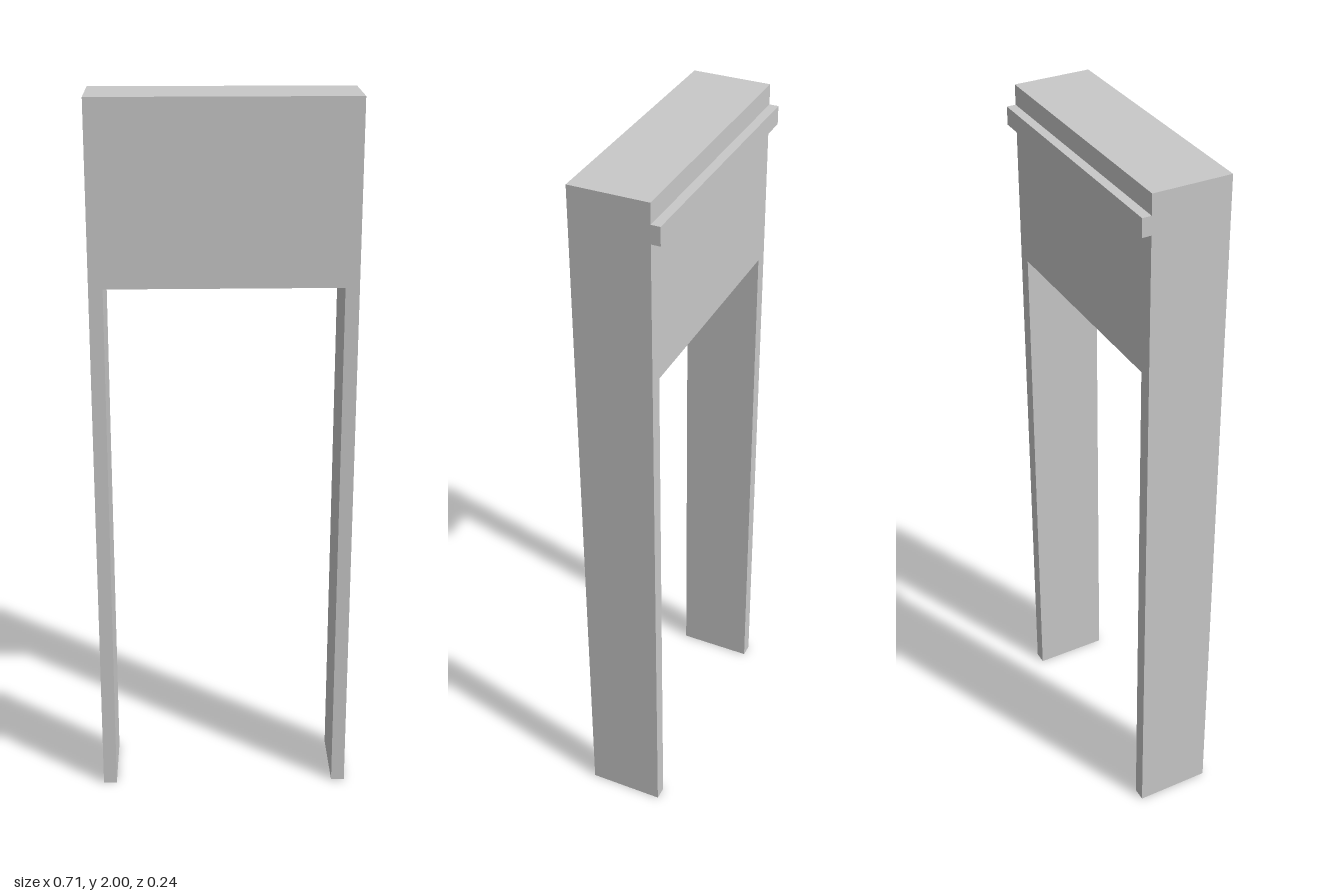
import * as THREE from 'three';

export function createModel() {
  const model = new THREE.Group();
  const grey = new THREE.MeshStandardMaterial({ color: 0xc8c8c8 });
  grey.name = 'light grey';

  const halfWidth = 0.357, halfOpening = 0.319, height = 2, openingTop = 1.505;
  const front = 0.119, back = -0.094, railBack = -0.119;

  // Portal frame: two thin legs joined by a deep header
  const outline = new THREE.Shape([
    [-halfWidth, 0], [-halfOpening, 0], [-halfOpening, openingTop], [halfOpening, openingTop],
    [halfOpening, 0], [halfWidth, 0], [halfWidth, height], [-halfWidth, height],
  ].map(([x, y]) => new THREE.Vector2(x, y)));
  const frameGeometry = new THREE.ExtrudeGeometry(outline, { depth: front - back, bevelEnabled: false });
  frameGeometry.translate(0, 0, back);
  const frame = new THREE.Mesh(frameGeometry, grey);
  frame.name = 'portalFrame';
  model.add(frame);

  // Narrow rail across the back, just below the top
  const railBottom = 1.895, railTop = 1.945;
  const rail = new THREE.Mesh(
    new THREE.BoxGeometry(halfWidth * 2, railTop - railBottom, back - railBack), grey);
  rail.position.set(0, (railTop + railBottom) / 2, (back + railBack) / 2);
  rail.name = 'backRail';
  model.add(rail);

  return model;
}
